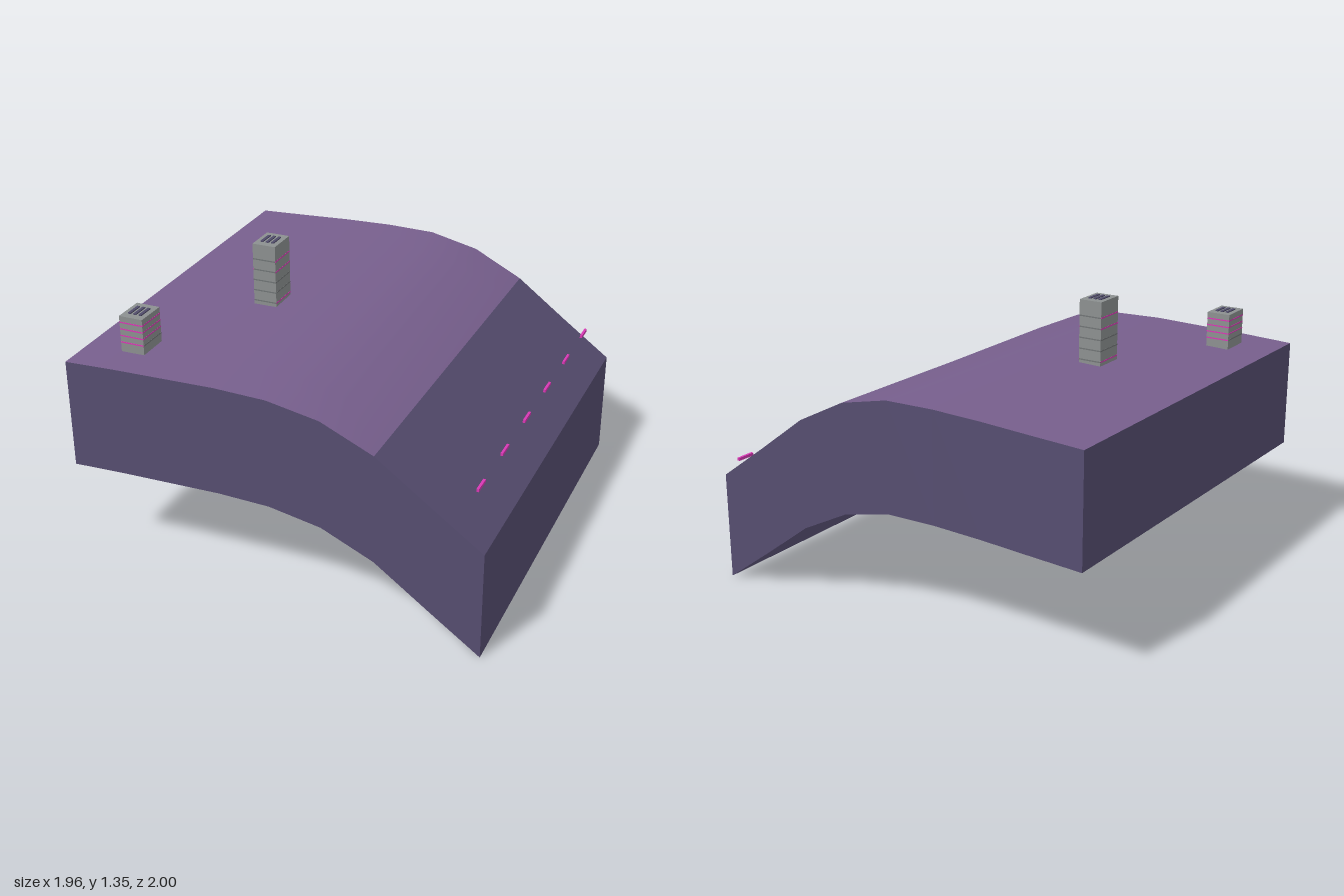
import * as THREE from 'three';

const mat = (name, color, side = THREE.FrontSide) => {
  const m = new THREE.MeshStandardMaterial({ color, side });
  m.name = name;
  return m;
};

// Terrain cross-section heights at evenly spaced x, for the front and back edges
const X0 = 0.98, ZF = 1.0, ZB = -0.96, DEPTH = 0.52;
const STEP = (2 * X0) / 8;
const FRONT = [1.02, 1.03, 1.036, 1.042, 1.035, 0.99, 0.88, 0.702, 0.527];
const BACK = [1.045, 1.056, 1.068, 1.075, 1.07, 1.015, 0.89, 0.706, 0.527];

function height(x, z) {
  const f = (x + X0) / STEP;
  const i = Math.max(0, Math.min(7, Math.floor(f + 1e-6)));
  const t = (ZF - z) / (ZF - ZB);
  const at = (k) => THREE.MathUtils.lerp(FRONT[k], BACK[k], t);
  return THREE.MathUtils.lerp(at(i), at(i + 1), f - i);
}

// Grid surface from a point rule; p(i, j) returns [x, y, z]
function surface(nu, nv, p) {
  const pos = [], idx = [];
  for (let j = 0; j <= nv; j++) for (let i = 0; i <= nu; i++) pos.push(...p(i, j));
  for (let j = 0; j < nv; j++) {
    for (let i = 0; i < nu; i++) {
      const a = j * (nu + 1) + i, b = a + 1, c = a + nu + 1, d = c + 1;
      idx.push(a, b, d, a, d, c);
    }
  }
  const g = new THREE.BufferGeometry();
  g.setAttribute('position', new THREE.Float32BufferAttribute(pos, 3));
  g.setIndex(idx);
  g.computeVertexNormals();
  return g;
}

export function createModel() {
  const model = new THREE.Group();
  const ground = mat('plum ground', 0x775f8d, THREE.DoubleSide);
  const rock = mat('slate purple rock', 0x564d70, THREE.DoubleSide);
  const concrete = mat('grey concrete', 0x8c9090);
  const seam = mat('dark grey seam', 0x707475);
  const neon = mat('magenta neon', 0xd838b4);
  const vent = mat('dusk vent', 0x504c6a);

  const add = (parent, name, geo, material, x = 0, y = 0, z = 0) => {
    const m = new THREE.Mesh(geo, material);
    m.name = name;
    m.position.set(x, y, z);
    parent.add(m);
    return m;
  };

  // Rolling plateau and the steep slope beside it
  const top = (from, count) => surface(count, 8, (i, j) => {
    const x = -X0 + (from + i) * STEP;
    const z = ZB + ((ZF - ZB) * j) / 8;
    return [x, height(x, z), z];
  });
  const flip = (g) => {
    const a = g.index.array;
    for (let k = 0; k < a.length; k += 3) [a[k + 1], a[k + 2]] = [a[k + 2], a[k + 1]];
    g.computeVertexNormals();
    return g;
  };
  add(model, 'plateau', flip(top(0, 6)), ground);
  add(model, 'slope', flip(top(6, 2)), rock);

  // Skirt walls, open underneath
  const wallX = (z) => surface(8, 1, (i, j) => {
    const x = -X0 + i * STEP;
    return [x, height(x, z) - DEPTH * (1 - j), z];
  });
  const wallZ = (x) => surface(1, 1, (i, j) => {
    const z = i ? ZB : ZF;
    return [x, height(x, z) - DEPTH * (1 - j), z];
  });
  add(model, 'frontWall', wallX(ZF), rock);
  add(model, 'backWall', flip(wallX(ZB)), rock);
  add(model, 'leftWall', wallZ(X0), rock);
  add(model, 'rightWall', flip(wallZ(-X0)), rock);

  // Towers with floor bands on each face and three roof vents
  const W = 0.115, D = 0.152;
  function tower(name, x, z, topY, bandY, gap, faceBands, sideBands) {
    const g = new THREE.Group();
    g.name = name;
    g.position.set(x, 0, z);
    const base = height(x, z) - 0.001;
    add(g, 'towerBody', new THREE.BoxGeometry(W, topY - base, D), concrete, 0, (topY + base) / 2, 0);
    for (let i = 0; i < faceBands.length; i++) {
      const y = bandY - i * gap;
      for (const s of [-1, 1]) {
        add(g, 'faceBand', new THREE.BoxGeometry(W, 0.006, 0.002), faceBands[i] ? neon : seam, 0, y, s * D / 2);
        add(g, 'sideBand', new THREE.BoxGeometry(0.002, 0.006, D), sideBands[i] ? neon : seam, s * W / 2, y, 0);
      }
    }
    for (const k of [-1, 0, 1]) {
      add(g, 'roofVent', new THREE.BoxGeometry(0.014, 0.008, 0.08), vent, k * 0.027, topY + 0.001, 0);
    }
    model.add(g);
  }
  tower('shortTower', -0.737, 0.755, 1.204, 1.174, 0.032, [1, 1, 1, 1], [1, 1, 1, 0]);
  tower('tallTower', -0.408, 0.104, 1.355, 1.28, 0.052, [0, 0, 0, 0, 0], [1, 1, 0, 0, 1]);

  // Row of marker lights along the slope
  for (let i = 0; i < 6; i++) {
    add(model, 'slopeMarker', new THREE.BoxGeometry(0.012, 0.014, 0.09), neon, 0.848, 0.643, -0.955 + i * 0.3255);
  }
  return model;
}
